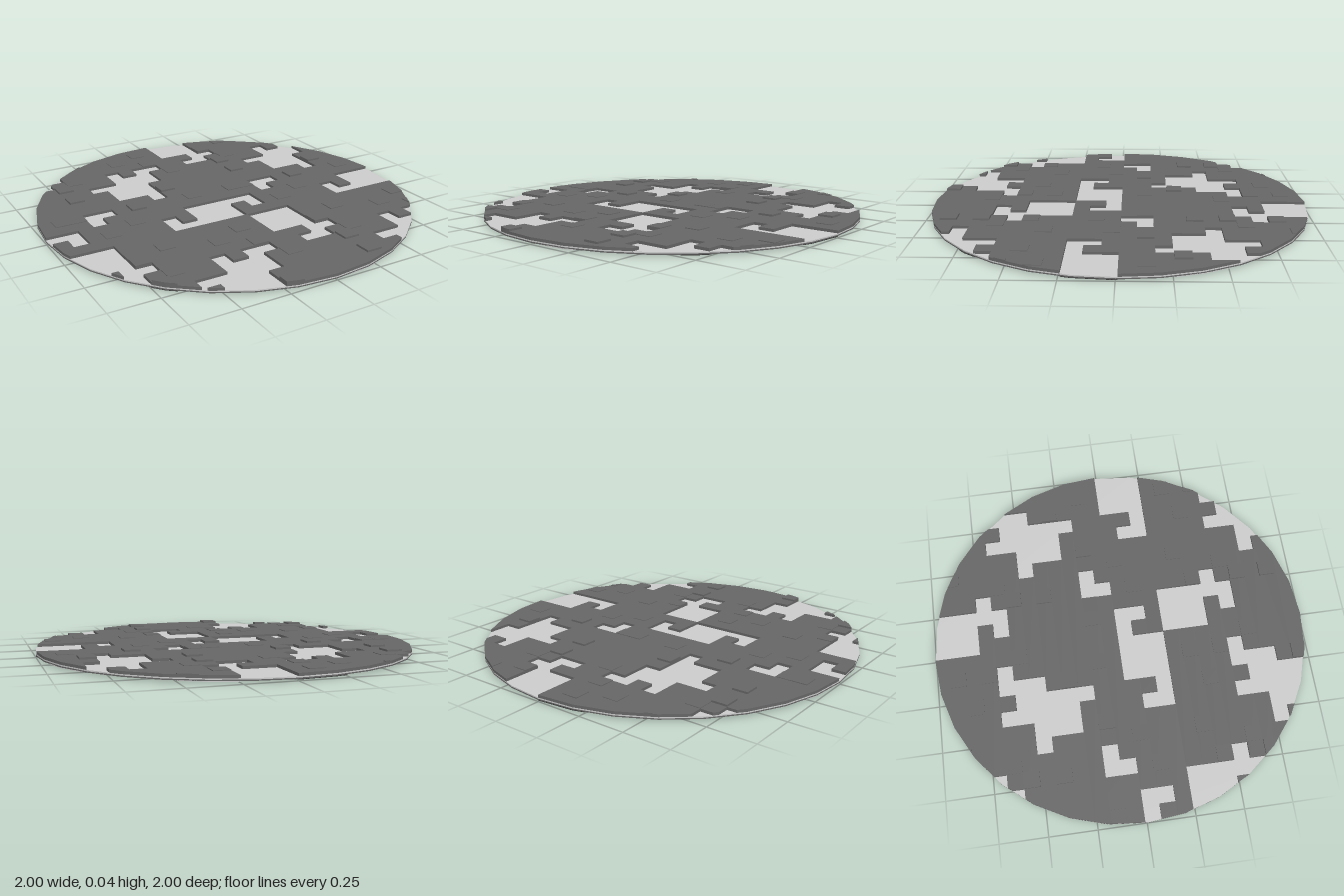
import * as THREE from 'three';
import { mergeGeometries } from 'three/addons/utils/BufferGeometryUtils.js';

const CELL = 1 / 12;      // small grid cell
const SHIFT = -0.01;      // grid offset along z
const COLS = 12, ROWS = 15; // the pattern repeats over this many cells
const SIDES = 32;

const mod = (a, n) => ((a % n) + n) % n;
const key = (i, j) => mod(i, COLS) + ',' + mod(j, ROWS);

// Recessed floor areas: [column from, column to, row from, row to]
const RECESSES = [
  [-3, 0, 0, 3], [-5, -4, 1, 3], [-4, -3, 2, 3], [0, 2, 0, 1], [1, 2, 1, 2],
  [0, 3, 3, 6], [2, 4, 6, 7], [1, 3, 7, 8],
  [-5, -4, -8, -7], [-3, -1, -8, -7], [-5, -2, -7, -6], [-7, -2, -6, -5],
  [-6, -3, -5, -3], [-4, -3, -3, -2],
  [-9, -7, -2, -1], [-9, -8, -1, 0],
];

// Raised blocks: [column, row, height]
const BUMPS = [
  [-9, -7, 0.01], [-9, -5, 0.01], [-6, -2, 0.01], [-3, -4, 0.01],
  [-2, -11, 0.004], [1, -2, 0.004], [2, -2, 0.003], [3, 1, 0.003],
  [5, 0, 0.003], [5, 4, 0.004], [4, 7, 0.003], [-4, 5, 0.003],
  [-2, -9, 0.004], [-1, -7, 0.003], [3, -10, 0.004], [-2, -2, 0.003],
];

// Underside panels on a grid of three cells: [column, row]
const PALE_PANELS = [[-2, -3], [-4, -1], [0, 0], [1, -1], [-2, 1], [1, -4], [0, 3], [3, -2]];
const DEEP_PANELS = [[-1, -3], [-2, -2], [-1, -4], [-3, -2], [-2, 0], [-2, 2], [-1, 1],
  [2, -2], [3, 0], [2, 2], [-3, 2]];
const LOW_PANELS = new Set(['0,0', '-2,1', '2,-2', '-2,0', '-1,1', '-2,-2']);
const STUDS = [[-5, -2], [-2, -2], [-9, 0], [6, 1], [10, -1]];

const rim = Array.from({ length: SIDES }, (_, k) => {
  const a = k / SIDES * Math.PI * 2;
  return [Math.cos(a), Math.sin(a)];
});

// Cut a polygon with an axis-aligned line, keeping the side where s * p[axis] <= s * limit
function cut(poly, axis, limit, s) {
  const out = [];
  poly.forEach((a, k) => {
    const b = poly[(k + 1) % poly.length];
    const da = s * (a[axis] - limit), db = s * (b[axis] - limit);
    if (da <= 0) out.push(a);
    if (da * db < 0) {
      const t = da / (da - db);
      out.push([a[0] + (b[0] - a[0]) * t, a[1] + (b[1] - a[1]) * t]);
    }
  });
  return out;
}

// Slab over a rectangle of cells, trimmed to the disc outline
function slab(i0, i1, j0, j1, y0, y1) {
  let p = cut(rim, 0, i0 * CELL, -1);
  p = cut(p, 0, i1 * CELL, 1);
  p = cut(p, 1, j0 * CELL + SHIFT, -1);
  p = cut(p, 1, j1 * CELL + SHIFT, 1);
  if (p.length < 3) return null;
  const pts = p.map(([x, z]) => new THREE.Vector2(x, -z));
  if (Math.abs(THREE.ShapeUtils.area(pts)) < 1e-5) return null;
  const g = new THREE.ExtrudeGeometry(new THREE.Shape(pts), { depth: y1 - y0, bevelEnabled: false });
  return g.rotateX(-Math.PI / 2).translate(0, y0, 0);
}

export function createModel() {
  const group = new THREE.Group();
  const pale = new THREE.MeshStandardMaterial({ color: 0xcccccc });
  const dark = new THREE.MeshStandardMaterial({ color: 0x666666 });
  const deep = new THREE.MeshStandardMaterial({ color: 0x3a3a3a });

  const add = (name, geos, material) => {
    const mesh = new THREE.Mesh(mergeGeometries(geos.filter(Boolean)), material);
    mesh.name = name;
    group.add(mesh);
  };

  // Base layers of the disc
  add('undersidePlate', [slab(-13, 13, -13, 13, 0.008, 0.014)], dark);
  add('recessedFloor', [slab(-13, 13, -13, 13, 0.014, 0.02)], pale);

  // Upper deck: every cell that is not recessed, joined in rows
  const open = new Set();
  for (const [i0, i1, j0, j1] of RECESSES)
    for (let i = i0; i < i1; i++) for (let j = j0; j < j1; j++) open.add(key(i, j));
  const deck = [];
  for (let j = -12; j <= 12; j++) {
    let start = null;
    for (let i = -12; i <= 12; i++) {
      const solid = i < 12 && !open.has(key(i, j));
      if (solid && start === null) start = i;
      if (!solid && start !== null) {
        deck.push(slab(start, i, j, j + 1, 0.02, 0.034));
        start = null;
      }
    }
  }
  add('upperDeck', deck, dark);

  // Raised blocks repeated with the pattern
  const heights = new Map(BUMPS.map(([i, j, h]) => [key(i, j), h]));
  const bumps = [];
  for (let j = -12; j < 12; j++) for (let i = -12; i < 12; i++) {
    const h = heights.get(key(i, j));
    if (h && !open.has(key(i, j))) bumps.push(slab(i, i + 1, j, j + 1, 0.034, 0.034 + h));
  }
  add('raisedBlocks', bumps, dark);

  // Underside panels and studs
  const panel = ([a, b]) => slab(a * 3, a * 3 + 3, b * 3, b * 3 + 3,
    LOW_PANELS.has(a + ',' + b) ? 0 : 0.005, 0.009);
  add('paleUndersidePanels', PALE_PANELS.map(panel), pale);
  add('deepUndersidePanels', DEEP_PANELS.map(panel), deep);
  add('undersideStuds', STUDS.map(([i, j]) => slab(i, i + 0.8, j, j + 0.8, 0.003, 0.009)), dark);

  return group;
}
